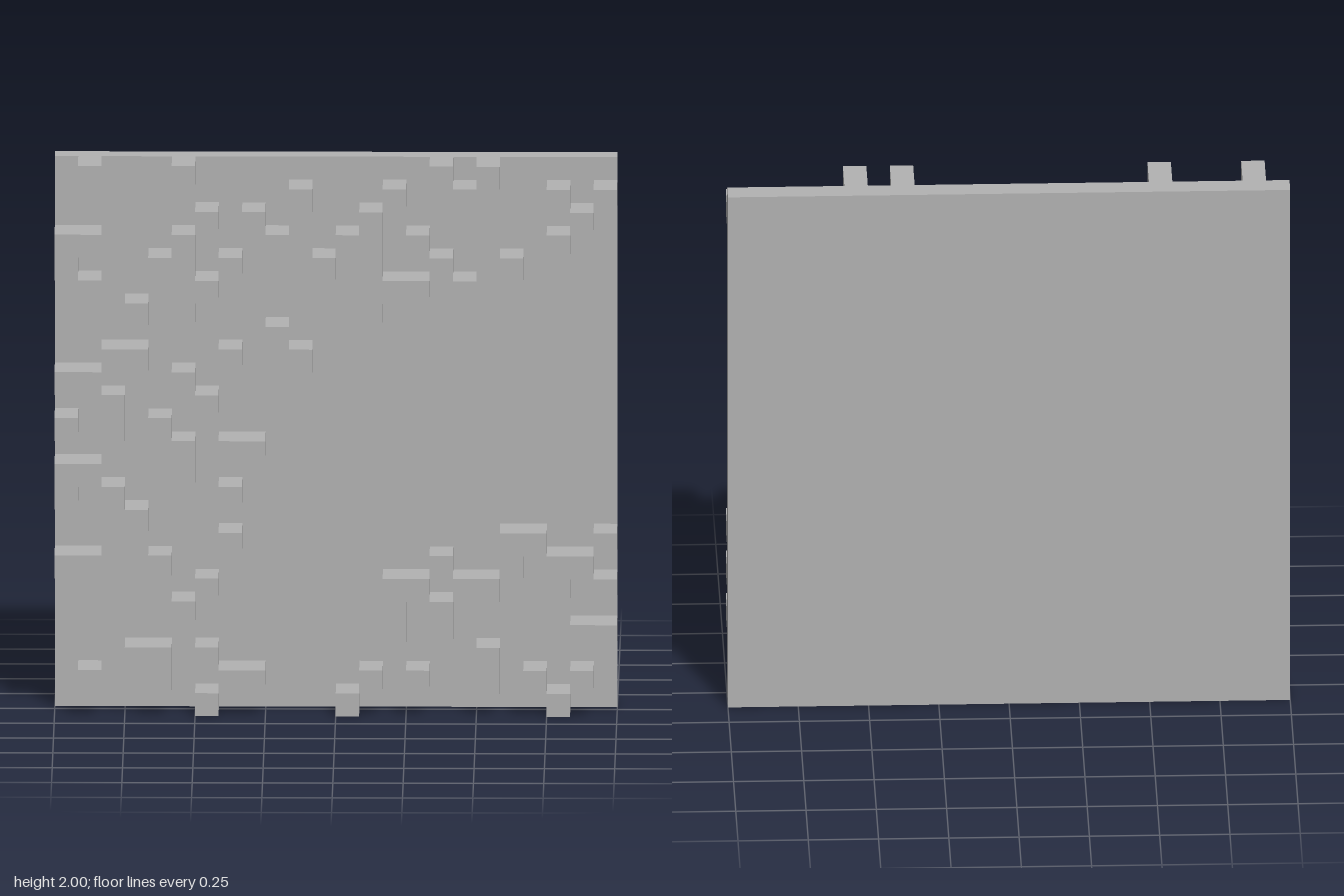
import * as THREE from 'three';

const CELL = 2 / 24; // the panel is a 24 x 24 grid

// Columns that carry a raised block, row by row from the top
const ROWS = [
  [1, 5, 16, 18],
  [10, 14, 17, 21, 23],
  [6, 8, 13, 22],
  [0, 1, 5, 9, 12, 13, 15, 21],
  [0, 4, 5, 7, 11, 13, 16, 19],
  [1, 5, 6, 13, 14, 15, 17],
  [1, 3, 5, 13],
  [9],
  [2, 3, 7, 10],
  [0, 1, 5],
  [2, 6],
  [0, 2, 4],
  [5, 7, 8],
  [0, 1, 5],
  [0, 2, 7],
  [3],
  [7, 19, 20, 23],
  [0, 1, 4, 16, 19, 21, 22],
  [6, 14, 15, 17, 18, 21, 23],
  [5, 14, 16],
  [14, 16, 22, 23],
  [3, 4, 6, 18],
  [1, 4, 7, 8, 13, 15, 18, 20, 22],
  [6, 12, 21],
];

export function createModel() {
  const model = new THREE.Group();
  model.name = 'blockReliefPanel';
  const grey = new THREE.MeshStandardMaterial({ color: 0xb2b2b2 });
  grey.name = 'grey';

  // Square backing plate, one cell thick
  const plate = new THREE.Mesh(new THREE.BoxGeometry(2, 2, CELL), grey);
  plate.name = 'backPlate';
  plate.position.set(0, 1, -CELL);
  model.add(plate);

  // Raised blocks, two cells deep; neighbours in a row join into one bar
  const blocks = new THREE.Group();
  blocks.name = 'raisedBlocks';
  ROWS.forEach((columns, row) => {
    for (const col of columns) {
      if (columns.includes(col - 1)) continue;
      let width = 1;
      while (columns.includes(col + width)) width++;
      const block = new THREE.Mesh(new THREE.BoxGeometry(width * CELL, CELL, 2 * CELL), grey);
      block.name = 'raisedBlock';
      block.position.set(-1 + (col + width / 2) * CELL, 2 - (row + 0.5) * CELL, CELL / 2);
      blocks.add(block);
    }
  });
  model.add(blocks);
  return model;
}
